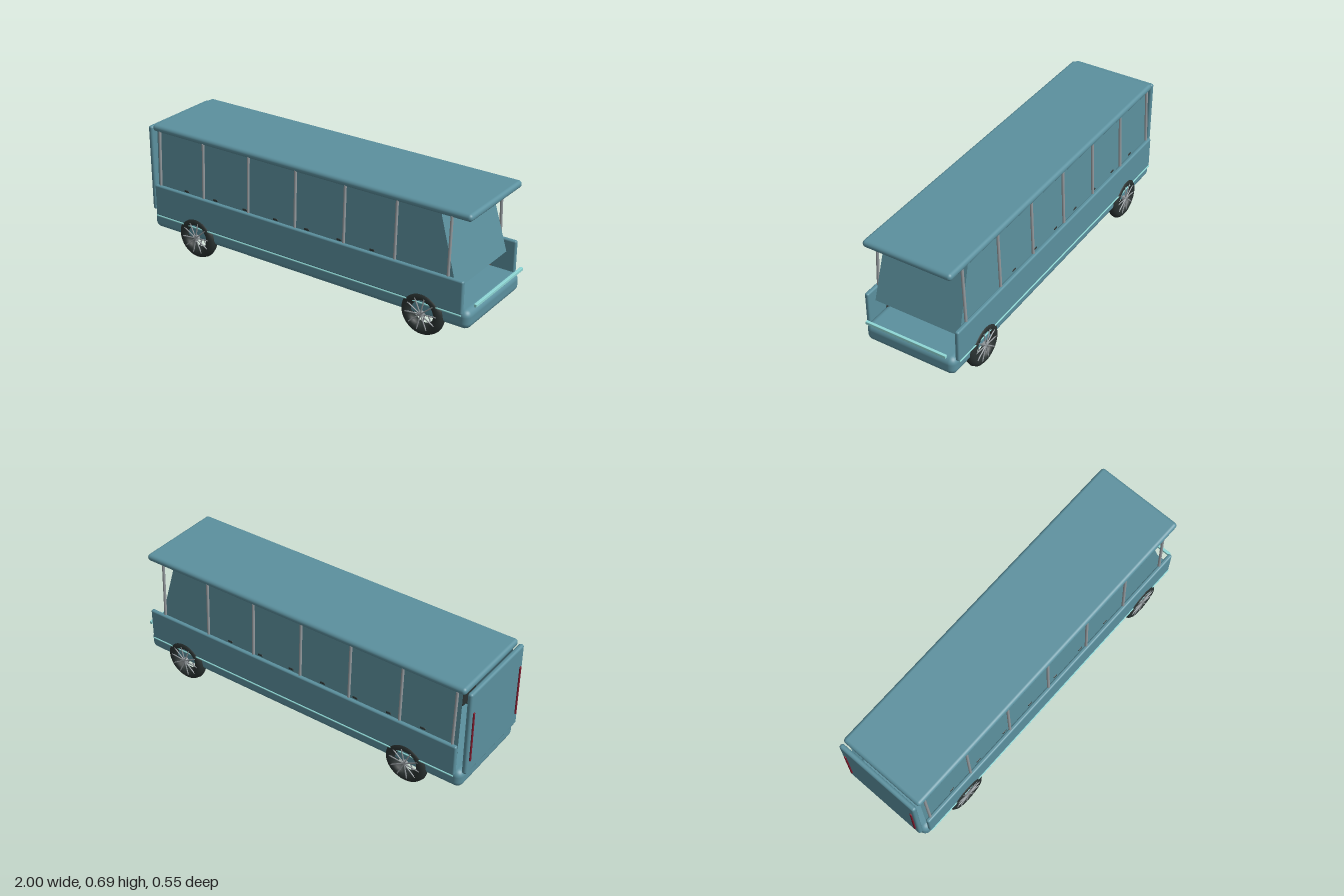
import * as THREE from 'three';
import { RoundedBoxGeometry } from 'three/addons/geometries/RoundedBoxGeometry.js';

const paint = (name, color) => {
  const m = new THREE.MeshStandardMaterial({ color });
  m.name = name;
  return m;
};

export function createModel() {
  const teal = paint('teal bodywork', 0x5b909e);
  const glass = paint('teal glass', 0x5b8f9c);
  glass.side = THREE.DoubleSide;
  const grey = paint('grey metal', 0x949a9e);
  const black = paint('black rubber', 0x2a3231);
  const mint = paint('pale mint trim', 0x8fd8d6);
  const red = paint('dark red lamp', 0x7d1a2c);

  const bus = new THREE.Group();
  bus.name = 'bus';

  const add = (parent, name, geometry, material, x = 0, y = 0, z = 0) => {
    const mesh = new THREE.Mesh(geometry, material);
    mesh.name = name;
    mesh.position.set(x, y, z);
    parent.add(mesh);
    return mesh;
  };
  // Rounded box given by its lower and upper corners
  const slab = (name, lo, hi, radius, material = teal) => add(bus, name,
    new RoundedBoxGeometry(hi[0] - lo[0], hi[1] - lo[1], hi[2] - lo[2], 4, radius), material,
    (lo[0] + hi[0]) / 2, (lo[1] + hi[1]) / 2, (lo[2] + hi[2]) / 2);
  // Round bar between two points
  const bar = (parent, name, a, b, radius, material, sides = 10) => {
    const from = new THREE.Vector3(...a), to = new THREE.Vector3(...b);
    const dir = to.clone().sub(from);
    const mesh = add(parent, name, new THREE.CylinderGeometry(radius, radius, dir.length(), sides), material);
    mesh.position.copy(from).add(to).multiplyScalar(0.5);
    mesh.quaternion.setFromUnitVectors(new THREE.Vector3(0, 1, 0), dir.normalize());
    return mesh;
  };
  // Flat four-cornered sheet
  const sheet = (name, corners) => {
    const g = new THREE.BufferGeometry();
    g.setAttribute('position', new THREE.Float32BufferAttribute(corners.flat(), 3));
    g.setIndex([0, 1, 2, 0, 2, 3]);
    g.computeVertexNormals();
    return add(bus, name, g, glass);
  };

  // Body shell
  slab('chassis', [-0.975, 0.095, -0.255], [0.975, 0.195, 0.255], 0.035);
  slab('roof', [-0.96, 0.65, -0.245], [0.96, 0.688, 0.245], 0.018);
  slab('rearPanel', [-0.994, 0.19, -0.24], [-0.967, 0.672, 0.24], 0.012);

  // Windscreen, sloping back towards the roof
  sheet('windscreen', [
    [0.897, 0.29, 0.241], [0.897, 0.29, -0.241], [0.793, 0.655, -0.228], [0.793, 0.655, 0.228]]);

  // Bar across the nose
  slab('noseBar', [0.985, 0.222, -0.228], [1, 0.238, 0.228], 0.002, mint);

  for (const s of [1, -1]) {
    const z0 = s > 0 ? 0.244 : -0.267, z1 = s > 0 ? 0.267 : -0.244;
    slab('sidePanel', [-0.945, 0.178, z0], [0.945, 0.355, z1], 0.009);
    const side = [
      [-0.94, 0.29, s * 0.241], [0.897, 0.29, s * 0.241], [0.793, 0.655, s * 0.228], [-0.94, 0.655, s * 0.228]];
    sheet('sideGlass', s > 0 ? side : side.reverse());
    bar(bus, 'sideTrim', [-0.94, 0.177, s * 0.267], [0.94, 0.177, s * 0.267], 0.004, mint, 8);

    // Window posts leaning inwards
    for (let i = 0; i < 7; i++) {
      const x = -0.915 + i * 0.295;
      bar(bus, 'windowPost', [x, 0.345, s * 0.25], [x, 0.657, s * 0.236], 0.0075, grey);
    }

    // Tail lamp
    slab('tailLamp', [-1, 0.265, s * 0.214 - 0.006], [-0.991, 0.555, s * 0.214 + 0.006], 0.003, red);

    // Seats
    for (let i = 0; i < 7; i++) {
      const x = -0.745 + i * 0.195;
      const seat = new THREE.Group();
      seat.name = 'seat';
      seat.position.set(x, 0, s * 0.155);
      add(seat, 'seatCushion', new RoundedBoxGeometry(0.13, 0.034, 0.124, 3, 0.015), black, 0.06, 0.272, 0);
      add(seat, 'seatBack', new RoundedBoxGeometry(0.03, 0.1, 0.13, 3, 0.012), black, -0.01, 0.325, 0);
      add(seat, 'seatArm', new RoundedBoxGeometry(0.03, 0.012, 0.088, 2, 0.005), black, 0, 0.357, s * 0.043);
      bus.add(seat);
    }

    // Wheels with open rims and ten spokes on each face
    for (const x of [-0.67, 0.725]) {
      const wheel = new THREE.Group();
      wheel.name = 'wheel';
      wheel.position.set(x, 0.118, s * 0.244);
      add(wheel, 'tyre', new THREE.TorusGeometry(0.0885, 0.0295, 10, 40), black);
      const hub = add(wheel, 'hub', new THREE.CylinderGeometry(0.014, 0.014, 0.056, 16), grey);
      hub.rotation.x = Math.PI / 2;
      for (let i = 0; i < 10; i++) {
        const a = i * Math.PI / 5 + 0.1;
        for (const z of [0.027, -0.027]) {
          bar(wheel, 'spoke', [0, 0, z], [Math.cos(a) * 0.087, Math.sin(a) * 0.087, z], 0.0035, grey, 6);
        }
      }
      bus.add(wheel);
    }
  }
  return bus;
}
